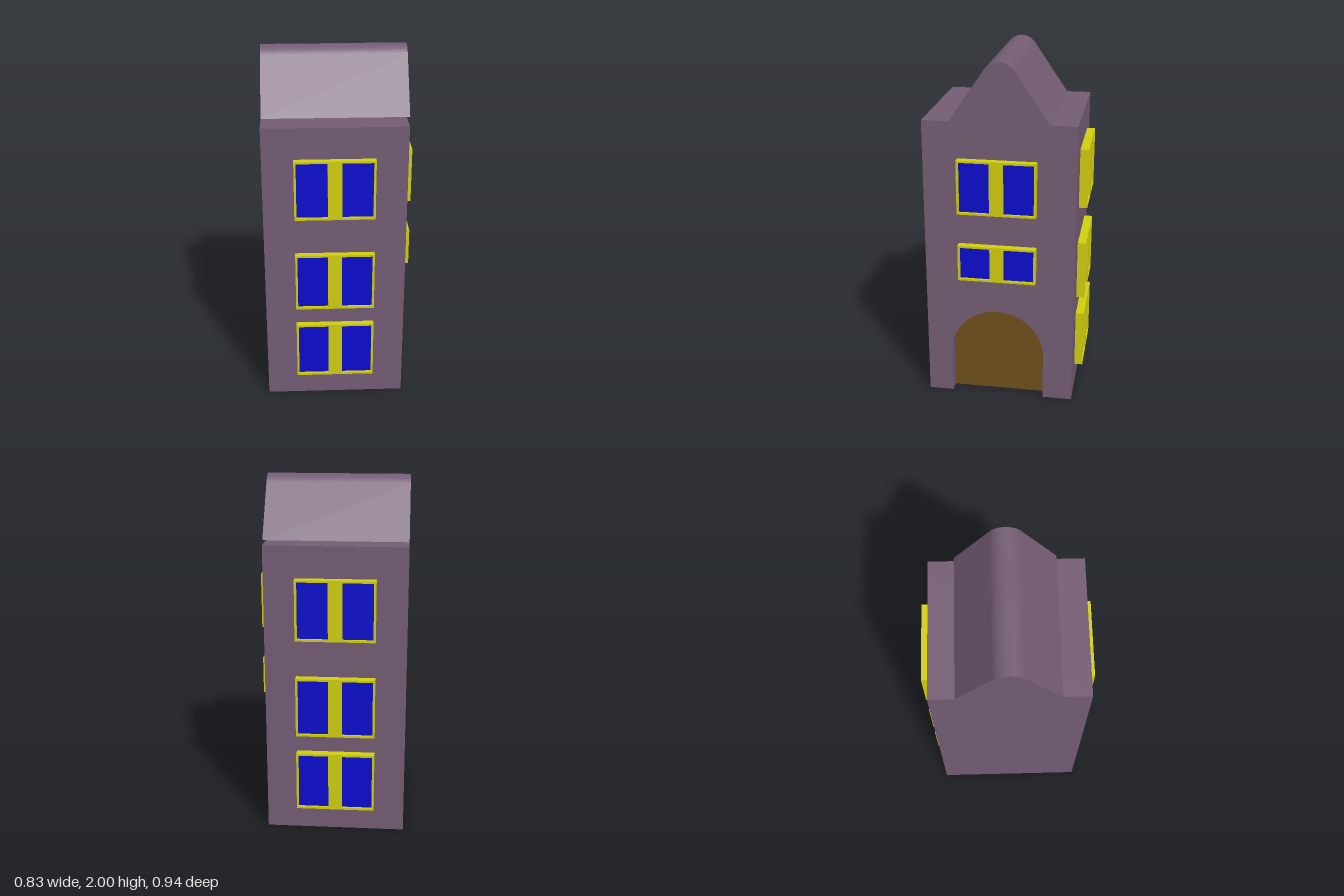
import * as THREE from 'three';
import { toCreasedNormals } from 'three/addons/utils/BufferGeometryUtils.js';

const mat = (color) => new THREE.MeshStandardMaterial({ color });
const wallMat = mat(0x755d75);
const frameMat = mat(0xd2d00e);
const glassMat = mat(0x0c0cd0);
const doorMat = mat(0x70501c);

// Main extents
const X0 = -0.415, X1 = 0.372, Z0 = -0.42, Z1 = 0.432, EAVES = 1.667;
const RECESS = 0.067; // depth of the doorway
const DOOR_Z = 0.02, DOOR_R = 0.27, SPRING = 0.272;

function mesh(name, geometry, material, parent) {
  const m = new THREE.Mesh(geometry, material);
  m.name = name;
  parent.add(m);
  return m;
}

// Extrude a shape drawn in (-z, y) along x, from xStart to xEnd
function extrudeAlongX(shape, xStart, xEnd) {
  const g = new THREE.ExtrudeGeometry(shape, { depth: xEnd - xStart, bevelEnabled: false, curveSegments: 32 });
  g.rotateY(Math.PI / 2).translate(xStart, 0, 0);
  return toCreasedNormals(g, 0.5);
}

// Round-headed opening standing on the ground
function traceArch(path) {
  path.lineTo(-DOOR_Z + DOOR_R, SPRING);
  path.absarc(-DOOR_Z, SPRING, DOOR_R, 0, Math.PI, false);
  path.lineTo(-DOOR_Z - DOOR_R, 0);
}

function rect(path, x0, y0, x1, y1) {
  path.moveTo(x0, y0);
  path.lineTo(x1, y0);
  path.lineTo(x1, y1);
  path.lineTo(x0, y1);
  path.closePath();
  return path;
}

// Two-pane window centred on the wall plane, facing local +z
function makeWindow(height, depth) {
  const w = new THREE.Group();
  w.name = 'window';
  const h = height / 2, hw = 0.221, border = 0.012, mullion = 0.039;
  const shape = rect(new THREE.Shape(), -hw, -h, hw, h);
  const panes = [[-hw + border, -mullion], [mullion, hw - border]];
  for (const [a, b] of panes) {
    shape.holes.push(rect(new THREE.Path(), a, -h + border, b, h - border));
  }
  const inset = 0.01;
  const frame = new THREE.ExtrudeGeometry(shape, { depth: depth + inset, bevelEnabled: false });
  frame.translate(0, 0, -inset);
  mesh('windowFrame', frame, frameMat, w);
  for (const [a, b] of panes) {
    const glassDepth = depth - 0.015 + inset;
    const glass = mesh('windowGlass', new THREE.BoxGeometry(b - a, height - 2 * border, glassDepth), glassMat, w);
    glass.position.set((a + b) / 2, 0, glassDepth / 2 - inset);
  }
  return w;
}

export function createModel() {
  const house = new THREE.Group();
  house.name = 'townHouse';

  // Body behind the doorway
  const backX = X1 - RECESS;
  const body = mesh('body', new THREE.BoxGeometry(backX - X0, EAVES, Z1 - Z0), wallMat, house);
  body.position.set((X0 + backX) / 2, EAVES / 2, (Z0 + Z1) / 2);

  // Entrance wall with the arched opening cut out
  const wall = new THREE.Shape();
  wall.moveTo(-Z1, EAVES);
  wall.lineTo(-Z1, 0);
  wall.lineTo(-DOOR_Z - DOOR_R, 0);
  wall.lineTo(-DOOR_Z - DOOR_R, SPRING);
  wall.absarc(-DOOR_Z, SPRING, DOOR_R, Math.PI, 0, true);
  wall.lineTo(-DOOR_Z + DOOR_R, 0);
  wall.lineTo(-Z0, 0);
  wall.lineTo(-Z0, EAVES);
  mesh('entranceWall', extrudeAlongX(wall, backX, X1), wallMat, house);

  // Door set back in the arch
  const door = new THREE.Shape();
  door.moveTo(-DOOR_Z + DOOR_R, 0);
  traceArch(door);
  mesh('door', extrudeAlongX(door, backX - 0.02, backX + 0.003), doorMat, house);

  // Gabled roof with a rounded ridge
  const R = 0.097, tilt = 0.974, half = 0.279;
  const gable = new THREE.Shape();
  gable.moveTo(-half, EAVES);
  gable.lineTo(half, EAVES);
  gable.absarc(0, 2 - R, R, Math.PI / 2 - tilt, Math.PI / 2 + tilt, false);
  gable.closePath();
  mesh('roof', extrudeAlongX(gable, X0, 0.391), wallMat, house);

  // Three windows on the front and the same on the back
  for (const y of [0.311, 0.76, 1.319]) {
    const front = makeWindow(0.342, 0.468 - Z1);
    front.position.set(-0.023, y, Z1);
    const back = makeWindow(0.342, 0.468 + Z0);
    back.position.set(-0.023, y, Z0);
    back.rotation.y = Math.PI;
    house.add(front, back);
  }

  // Two windows above the door
  for (const [y, h] of [[0.855, 0.212], [1.305, 0.312]]) {
    const side = makeWindow(h, 0.415 - X1);
    side.position.set(X1, y, 0.016);
    side.rotation.y = Math.PI / 2;
    house.add(side);
  }
  return house;
}
